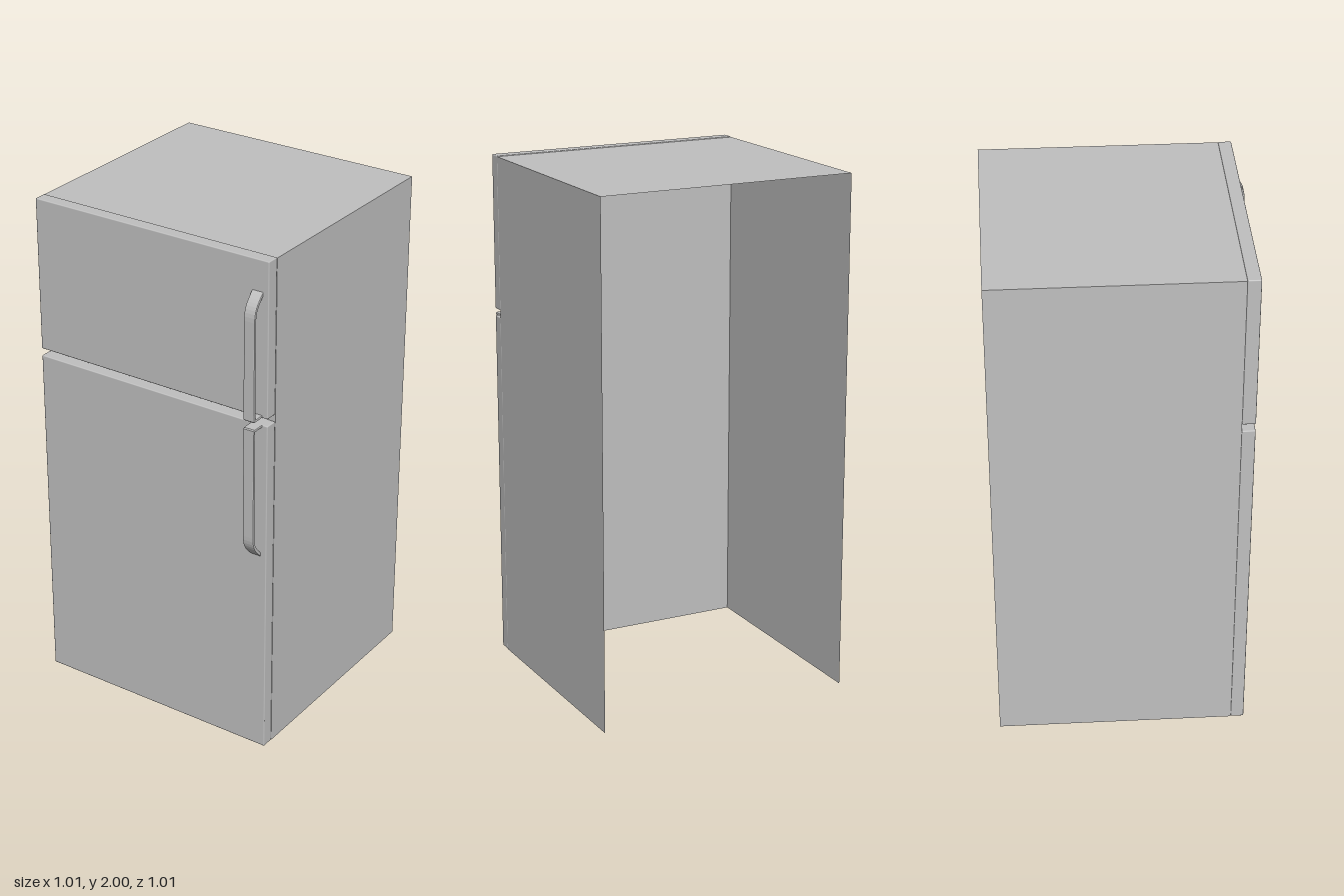
import * as THREE from 'three';
import { RoundedBoxGeometry } from 'three/addons/geometries/RoundedBoxGeometry.js';

const steel = new THREE.MeshStandardMaterial({ color: 0xc0c0c0, side: THREE.DoubleSide });
steel.name = 'steel grey';

const HALF = 0.503, BACK = -0.503, SEAM = 0.402, FACE = 0.452, HEIGHT = 2;

function add(parent, name, geometry, x = 0, y = 0, z = 0) {
  const mesh = new THREE.Mesh(geometry, steel);
  mesh.name = name;
  mesh.position.set(x, y, z);
  parent.add(mesh);
  return mesh;
}

// Sheet cabinet, open at the back and underneath
function makeCabinet() {
  const cabinet = new THREE.Group();
  cabinet.name = 'cabinet';
  const depth = SEAM - BACK, midZ = (SEAM + BACK) / 2, top = HEIGHT - 0.003;
  for (const side of [-1, 1]) {
    add(cabinet, side > 0 ? 'leftWall' : 'rightWall', new THREE.PlaneGeometry(depth, top),
      side * HALF, top / 2, midZ).rotation.y = side * Math.PI / 2;
  }
  add(cabinet, 'topPanel', new THREE.PlaneGeometry(2 * HALF, depth), 0, top, midZ).rotation.x = -Math.PI / 2;
  add(cabinet, 'frontPanel', new THREE.PlaneGeometry(2 * HALF, top), 0, top / 2, SEAM - 0.001);
  return cabinet;
}

// Bent strap handle: square foot beside the door gap, curved far end
function makeHandle(footY, dir, length) {
  const at = (d) => footY + dir * d;
  const inner = 0.492, outer = 0.503, root = FACE - 0.003;
  const s = new THREE.Shape();
  s.moveTo(root, at(0));
  s.lineTo(outer - 0.004, at(0));
  s.lineTo(outer, at(0.004));
  s.lineTo(outer, at(length - 0.1));
  s.bezierCurveTo(outer, at(length - 0.055), outer - 0.015, at(length - 0.035), root, at(length));
  s.lineTo(root, at(length - 0.016));
  s.bezierCurveTo(inner - 0.01, at(length - 0.05), inner, at(length - 0.065), inner, at(length - 0.1));
  s.lineTo(inner, at(0.01));
  s.lineTo(root, at(0.01));
  s.closePath();
  const geometry = new THREE.ExtrudeGeometry(s, {
    depth: 0.039, curveSegments: 8, bevelEnabled: true,
    bevelThickness: 0.003, bevelSize: 0.003, bevelOffset: -0.003, bevelSegments: 2,
  });
  // Profile runs in z and y, strap width in x
  geometry.rotateY(-Math.PI / 2);
  geometry.translate(0.477, 0, 0);
  return geometry;
}

export function createModel() {
  const model = new THREE.Group();
  model.name = 'refrigerator';
  model.add(makeCabinet());

  // Freezer door above, larger fridge door below
  const doors = [
    { name: 'freezerDoor', bottom: 1.4, top: HEIGHT, foot: 1.4, dir: 1, length: 0.485 },
    { name: 'fridgeDoor', bottom: 0, top: 1.372, foot: 1.372, dir: -1, length: 0.54 },
  ];
  for (const d of doors) {
    const door = new THREE.Group();
    door.name = d.name;
    add(door, d.name + 'Panel',
      new RoundedBoxGeometry(2 * HALF, d.top - d.bottom, FACE - SEAM, 2, 0.004),
      0, (d.top + d.bottom) / 2, (FACE + SEAM) / 2);
    add(door, d.name + 'Handle', makeHandle(d.foot, d.dir, d.length));
    model.add(door);
  }
  return model;
}
